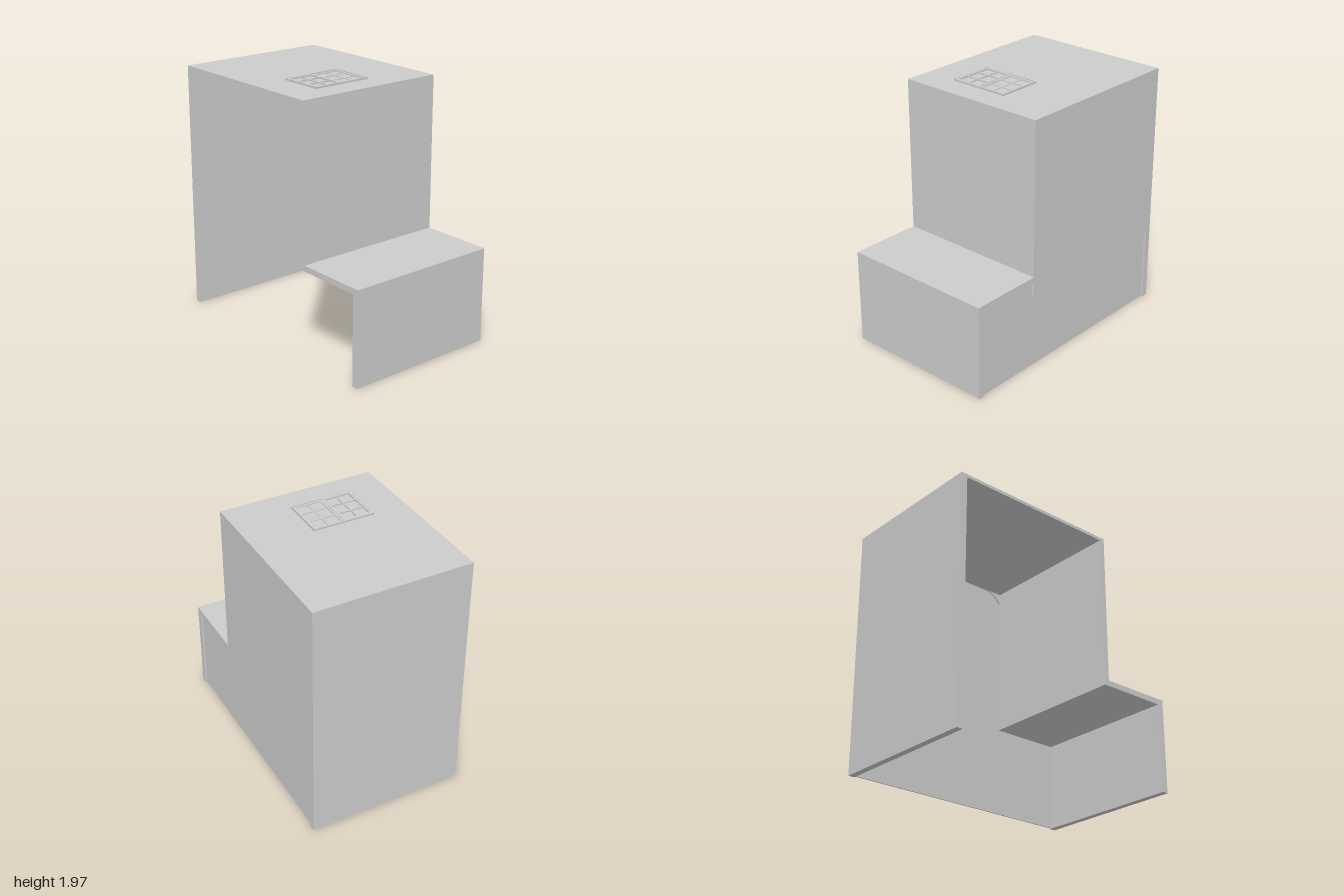
import * as THREE from 'three';

const grey = new THREE.MeshStandardMaterial({ color: 0xcccccc, flatShading: true, side: THREE.DoubleSide });

// Box given by its min and max corners
function slab(name, [x0, y0, z0], [x1, y1, z1]) {
  const mesh = new THREE.Mesh(new THREE.BoxGeometry(x1 - x0, y1 - y0, z1 - z0), grey);
  mesh.position.set((x0 + x1) / 2, (y0 + y1) / 2, (z0 + z1) / 2);
  mesh.name = name;
  return mesh;
}

// Flat outline extruded from z0 to z1
function prism(name, points, z0, z1) {
  const shape = new THREE.Shape(points.map(([x, y]) => new THREE.Vector2(x, y)));
  const mesh = new THREE.Mesh(new THREE.ExtrudeGeometry(shape, { depth: z1 - z0, bevelEnabled: false }), grey);
  mesh.position.z = z0;
  mesh.name = name;
  return mesh;
}

// Rim with a grid of glazing bars, lying flat on the roof
function sash(name, x0, x1, z0, z1, y0, y1) {
  const group = new THREE.Group();
  group.name = name;
  const rim = 0.018, bar = 0.01, cols = 3, rows = 2;
  group.add(
    slab('sashSide', [x0, y0, z0], [x0 + rim, y1, z1]),
    slab('sashSide', [x1 - rim, y0, z0], [x1, y1, z1]),
    slab('sashRail', [x0 + rim, y0, z0], [x1 - rim, y1, z0 + rim]),
    slab('sashRail', [x0 + rim, y0, z1 - rim], [x1 - rim, y1, z1]));
  for (let i = 1; i < cols; i++) {
    const x = x0 + (x1 - x0) * i / cols;
    group.add(slab('glazingBar', [x - bar / 2, y0, z0 + rim], [x + bar / 2, y1 - 0.002, z1 - rim]));
  }
  for (let i = 1; i < rows; i++) {
    const z = z0 + (z1 - z0) * i / rows;
    group.add(slab('glazingBar', [x0 + rim, y0, z - bar / 2], [x1 - rim, y1 - 0.003, z + bar / 2]));
  }
  return group;
}

export function createModel() {
  const model = new THREE.Group();
  model.name = 'steppedBuilding';
  const D = 0.615, roof = 1.95;

  // Walls and roofs as one stepped band, open at the front
  model.add(prism('wallsAndRoofs', [
    [-1, 0], [-1, roof], [0.42, roof], [0.42, 0.745], [1, 0.745], [1, 0],
    [0.95, 0], [0.95, 0.7], [0.38, 0.7], [0.38, 1.925], [-0.95, 1.925], [-0.95, 0],
  ], -D, D));

  // Back: flush upper panel over a slightly recessed lower one
  model.add(slab('upperBackWall', [-0.95, 0.58, -D], [0.38, 1.925, -0.59]));
  model.add(slab('upperBackEdge', [0.38, 0.58, -D], [0.42, 0.7, -0.59]));
  model.add(slab('lowerBackWall', [-0.95, 0, -0.6], [0.95, 0.7, -0.59]));

  // Small rounded fillet in the upper corner of the back wall
  const arc = [];
  for (let i = 0; i <= 6; i++) {
    const a = 1.25 - i * 0.155;
    arc.push([0.18 + 0.245 * Math.cos(a), 1.692 + 0.245 * Math.sin(a)]);
  }
  model.add(prism('cornerFillet', [[0.38, 1.925], ...arc.filter(([x, y]) => x < 0.38 && y < 1.925)], -0.59, -0.58));

  // Roof window: outer frame, raised front sash and lower rear sash
  const skylight = new THREE.Group();
  skylight.name = 'roofWindow';
  const top = 1.965, f = 0.008;
  skylight.add(
    slab('frameSide', [-0.14, roof, -0.145], [-0.14 + f, top, 0.34]),
    slab('frameSide', [0.22 - f, roof, -0.145], [0.22, top, 0.34]),
    slab('frameRail', [-0.14 + f, roof, -0.145], [0.22 - f, top, -0.145 + f]),
    slab('frameRail', [-0.14 + f, roof, 0.34 - f], [0.22 - f, top, 0.34]),
    sash('frontSash', -0.132, 0.212, 0.1, 0.332, roof, top - 0.002),
    sash('rearSash', -0.132, 0.212, -0.137, 0.1, roof, top - 0.007));
  model.add(skylight);
  return model;
}
